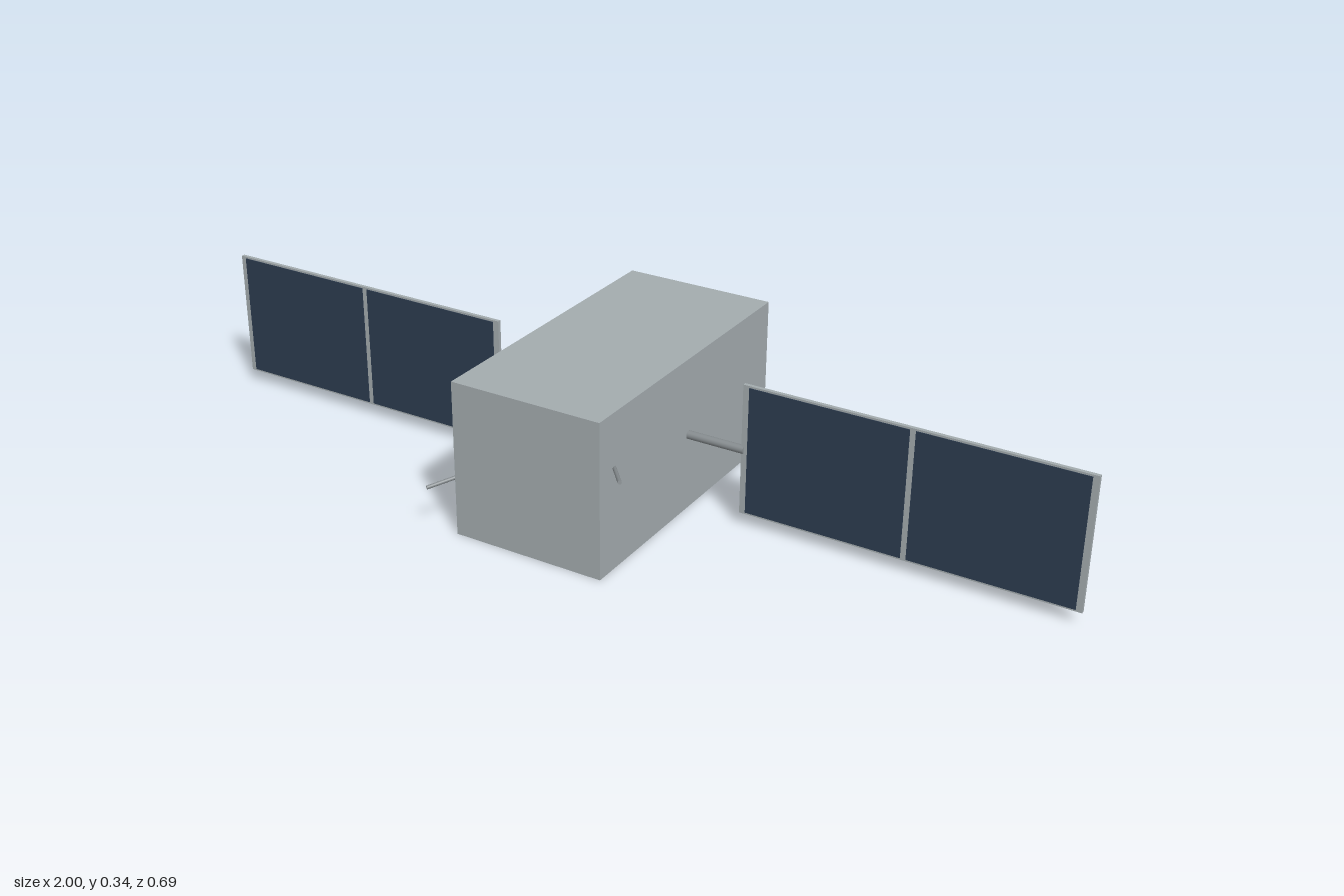
import * as THREE from 'three';

const Z = -0.011; // body and wing centre line
const MID_Y = 0.168;

function material(name, color) {
  const m = new THREE.MeshStandardMaterial({ color });
  m.name = name;
  return m;
}

export function createModel() {
  const hull = material('hull grey', 0xa3abae);
  const metal = material('rod grey', 0x858b8e);
  const solar = material('solar blue', 0x2c3b4f);

  const model = new THREE.Group();
  model.name = 'satellite';

  function box(parent, name, size, pos, mat) {
    const mesh = new THREE.Mesh(new THREE.BoxGeometry(...size), mat);
    mesh.name = name;
    mesh.position.set(...pos);
    parent.add(mesh);
  }

  // Round rod between two points
  function rod(parent, name, from, to, radius) {
    const a = new THREE.Vector3(...from);
    const b = new THREE.Vector3(...to);
    const dir = b.clone().sub(a);
    const mesh = new THREE.Mesh(new THREE.CylinderGeometry(radius, radius, dir.length(), 16), metal);
    mesh.name = name;
    mesh.position.copy(a).add(b).multiplyScalar(0.5);
    mesh.quaternion.setFromUnitVectors(new THREE.Vector3(0, 1, 0), dir.normalize());
    parent.add(mesh);
  }

  // Main body
  box(model, 'body', [0.336, 0.336, 0.668], [0, MID_Y, Z], hull);

  for (const side of [1, -1]) {
    const label = side > 0 ? 'left' : 'right';

    // Solar wing: boom, backing panel and two cell plates on the front
    const wing = new THREE.Group();
    wing.name = label + 'Wing';
    rod(wing, 'boom', [side * 0.16, MID_Y, Z], [side * 0.295, MID_Y, Z], 0.009);
    box(wing, 'panel', [0.71, 0.284, 0.008], [side * 0.645, 0.169, Z], hull);
    for (const x of [0.4715, 0.8195]) {
      box(wing, 'solarCells', [0.336, 0.276, 0.002], [side * x, 0.169, Z + 0.0045], solar);
    }
    model.add(wing);

    // Antenna splayed forward, up on the left and down on the right
    rod(model, label + 'Antenna',
      [side * 0.165, MID_Y + side * 0.051, 0.267],
      [side * 0.224, MID_Y + side * 0.07, 0.343], 0.004);
  }

  return model;
}
